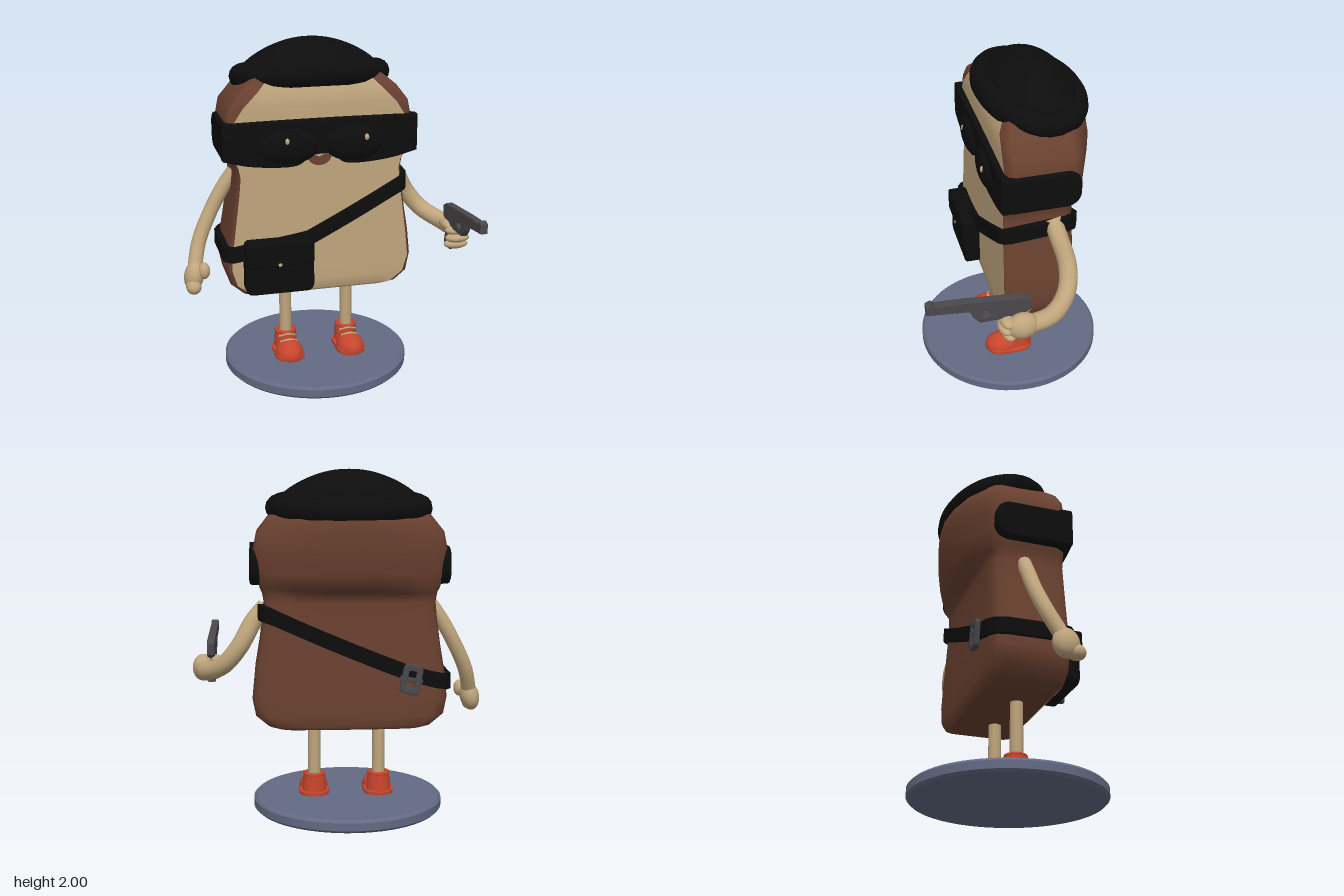
import * as THREE from 'three';

const mat = (name, color, side = THREE.FrontSide) => {
  const m = new THREE.MeshStandardMaterial({ color, side });
  m.name = name;
  return m;
};
const CX = -0.06; // centre line of the figure
const V = (x, y, z) => new THREE.Vector3(x, y, z);
const lerp = THREE.MathUtils.lerp;

// Body sections: height, half width, half width of bread face, front z, back z at centre, back z at corner
const ROWS = [
  [0.52, 0.01, 0.005, -0.1, -0.1, -0.1], [0.52, 0.41, 0.37, 0.09, -0.3, -0.29],
  [0.54, 0.47, 0.43, 0.113, -0.315, -0.31], [0.6, 0.54, 0.505, 0.117, -0.32, -0.315],
  [0.7, 0.56, 0.535, 0.117, -0.32, -0.315], [0.85, 0.545, 0.52, 0.115, -0.315, -0.31],
  [1.0, 0.52, 0.5, 0.113, -0.31, -0.305], [1.15, 0.5, 0.48, 0.112, -0.305, -0.3],
  [1.25, 0.49, 0.47, 0.11, -0.305, -0.3], [1.305, 0.5, 0.48, 0.11, -0.315, -0.3],
  [1.33, 0.51, 0.49, 0.11, -0.4, -0.315], [1.42, 0.54, 0.51, 0.11, -0.435, -0.325],
  [1.55, 0.55, 0.515, 0.11, -0.455, -0.33], [1.65, 0.53, 0.45, 0.108, -0.465, -0.33],
  [1.74, 0.46, 0.36, 0.1, -0.46, -0.31], [1.84, 0.34, 0.26, 0.04, -0.4, -0.25],
];
const rowAt = (y) => {
  let i = 1;
  while (i < ROWS.length - 2 && ROWS[i + 1][0] < y) i++;
  const a = ROWS[i], b = ROWS[i + 1], t = (y - a[0]) / (b[0] - a[0]);
  return a.map((v, k) => lerp(v, b[k], t));
};
// Crust outline, from the front right edge around the back to the front left edge
function crustRing([y, w, fw, zf, zb, zs]) {
  const c = Math.min(1, w / 0.4);
  const half = [
    [fw, zf], [w - 0.012 * c, zf - 0.012 * c], [w, zf - 0.04 * c], [w, lerp(zf, zs, 0.35)],
    [w, lerp(zf, zs, 0.65)], [w, zs + 0.06 * c], [w - 0.02 * c, zs + 0.02 * c], [w - 0.07 * c, lerp(zs, zb, 0.1)],
    [w * 0.6, lerp(zs, zb, 0.6)], [w * 0.3, lerp(zs, zb, 0.9)],
  ];
  const all = [...half, [0, zb], ...half.map(([x, z]) => [-x, z]).reverse()];
  return all.map(([x, z]) => V(CX + x, y, z));
}
const faceRing = ([y, , fw, zf]) => Array.from({ length: 13 }, (_, i) => V(CX + fw * (i / 6 - 1), y, zf));
const fullRing = (r) => [...crustRing(r), ...faceRing(r).slice(1)];

// Surface through a grid of points
function loft(grid) {
  const n = grid[0].length, idx = [];
  for (let i = 0; i < grid.length - 1; i++) {
    for (let j = 0; j < n - 1; j++) {
      const p = i * n + j;
      idx.push(p, p + 1, p + n, p + 1, p + n + 1, p + n);
    }
  }
  const g = new THREE.BufferGeometry().setFromPoints(grid.flat());
  g.setIndex(idx);
  g.computeVertexNormals();
  return g;
}
const shapeOf = (pts) => new THREE.Shape(pts.map(([x, y]) => new THREE.Vector2(x, y)));
const extrude = (shape, depth, bevel = 0.008) => new THREE.ExtrudeGeometry(shape, {
  depth: depth - 2 * bevel, bevelEnabled: bevel > 0, bevelSize: bevel, bevelThickness: bevel, bevelSegments: 2, curveSegments: 10,
}).translate(0, 0, bevel - depth / 2);
function roundRect(x0, y0, x1, y1, r) {
  const s = new THREE.Shape();
  s.absarc(x1 - r, y1 - r, r, 0, Math.PI / 2);
  s.absarc(x0 + r, y1 - r, r, Math.PI / 2, Math.PI);
  s.absarc(x0 + r, y0 + r, r, Math.PI, 1.5 * Math.PI);
  s.absarc(x1 - r, y0 + r, r, 1.5 * Math.PI, 2 * Math.PI);
  return s;
}

export function createModel() {
  const model = new THREE.Group();
  const bread = mat('bread tan', 0xbfa57c), crust = mat('crust brown', 0x6a4130);
  const black = mat('cloth black', 0x0d0d0d), red = mat('shoe red', 0xc8452d);
  const slate = mat('base slate', 0x636a83), metal = mat('dark metal', 0x4a484b);
  const add = (name, geo, m, x = 0, y = 0, z = 0) => {
    const mesh = new THREE.Mesh(geo, m);
    mesh.name = name;
    mesh.position.set(x, y, z);
    model.add(mesh);
    return mesh;
  };
  const ball = (name, m, p, s) => {
    const b = add(name, new THREE.SphereGeometry(1, 24, 16), m, ...p);
    b.scale.set(...s);
    return b;
  };
  const tube = (name, pts, r, m, closed = false) =>
    add(name, new THREE.TubeGeometry(new THREE.CatmullRomCurve3(pts.map((p) => V(...p)), closed), 48, r, 14, closed), m);

  // Display base
  add('base', new THREE.CylinderGeometry(0.56, 0.56, 0.045, 64), slate, CX, 0.0425, -0.05);
  for (const [y, top, bottom] of [[0.0725, 0.545, 0.56], [0.0125, 0.56, 0.545]]) {
    add('baseRim', new THREE.CylinderGeometry(top, bottom, 0.015, 64), slate, CX, y, -0.05);
  }

  // Slice body
  add('crust', loft(ROWS.slice(1).map(crustRing)), crust);
  add('crustBottom', loft(ROWS.slice(0, 2).map(fullRing)), crust);
  add('breadFace', loft(ROWS.slice(1).map(faceRing)), bread);

  // Legs and shoes
  for (const x of [-0.245, 0.14]) {
    add('leg', new THREE.CylinderGeometry(0.037, 0.037, 0.36, 20), bread, x, 0.36, -0.065);
    add('shoeAnkle', new THREE.CylinderGeometry(0.064, 0.074, 0.13, 24), red, x, 0.145, -0.07);
    ball('shoeToe', red, [x, 0.1, 0.04], [0.085, 0.08, 0.11]);
    add('shoeSole', extrude(roundRect(-0.08, -0.14, 0.08, 0.13, 0.075), 0.03).rotateX(Math.PI / 2), red, x, 0.09, 0.005);
    const collar = add('shoeCollar', new THREE.TorusGeometry(0.055, 0.012, 8, 24), red, x, 0.205, -0.07);
    collar.rotation.x = Math.PI / 2;
    for (const [y, z] of [[0.195, -0.01], [0.178, 0.035]]) {
      tube('lace', [[x - 0.05, y - 0.015, z - 0.015], [x, y + 0.004, z + 0.005], [x + 0.05, y - 0.015, z - 0.015]], 0.007, bread);
    }
  }

  // Knitted cap with rolled cuff
  const dome = [[0.43, 1.76], [0.42, 1.82], [0.36, 1.88], [0.27, 1.935], [0.17, 1.975], [0.08, 1.995], [0, 2]];
  const cap = add('cap', new THREE.LatheGeometry(
    new THREE.SplineCurve(dome.map((p) => new THREE.Vector2(...p))).getPoints(24), 48), black, CX, 0, -0.155);
  cap.scale.z = 0.62;
  const cuff = Array.from({ length: 24 }, (_, i) => {
    const a = (i / 24) * Math.PI * 2, c = Math.cos(a), s = Math.sin(a);
    return [CX + 0.405 * c, 1.795 + 0.032 * s - 0.012 * c * c, -0.16 + 0.245 * s];
  });
  tube('capCuff', cuff, 0.073, black, true);

  // Eye mask
  const front = new THREE.Shape();
  front.moveTo(-0.56, 1.37);
  front.splineThru([[-0.42, 1.335], [-0.25, 1.318], [-0.14, 1.325], [-0.08, 1.37], [0, 1.385], [0.08, 1.37],
    [0.14, 1.325], [0.25, 1.318], [0.42, 1.335], [0.56, 1.37]].map((p) => new THREE.Vector2(...p)));
  front.lineTo(0.56, 1.562);
  front.quadraticCurveTo(0, 1.572, -0.56, 1.562);
  add('maskFront', extrude(front, 0.085, 0.012), black, CX, 0, 0.1);
  for (const s of [-1, 1]) {
    add('maskSide', extrude(roundRect(-0.295, 1.365, 0.13, 1.555, 0.07), 0.08, 0.015).rotateY(-Math.PI / 2), black, CX + s * 0.53, 0, 0);
    ball('maskBulge', black, [CX + s * 0.19, 1.43, 0.125], [0.18, 0.11, 0.057]);
    ball('eye', bread, [CX + s * 0.21 + 0.045 * (s > 0), 1.465, 0.172], [0.014, 0.02, 0.012]);
  }

  // Mouth
  const mouth = new THREE.Shape();
  mouth.moveTo(-0.07, 0.025);
  mouth.quadraticCurveTo(-0.035, 0.045, 0, 0.02);
  mouth.quadraticCurveTo(0.035, 0.045, 0.07, 0.025);
  mouth.bezierCurveTo(0.06, -0.045, -0.06, -0.045, -0.07, 0.025);
  add('mouth', extrude(mouth, 0.009, 0), crust, -0.07, 1.33, 0.116);

  // Shoulder strap wrapped around the body
  const bent = (x, mid, lo, mY, hi) => (x < mid ? lerp(lo, mY, (x + 0.62) / (mid + 0.62)) : lerp(mY, hi, (x - mid) / (0.46 - mid)));
  const path = fullRing(rowAt(1)).map((p, j) => {
    const t = THREE.MathUtils.clamp((0.11 - p.z) / 0.42, 0, 1);
    const y = lerp(bent(p.x, -0.15, 0.79, 0.86, 1.17), bent(p.x, -0.4, 0.78, 0.84, 1.2), t);
    return fullRing(rowAt(y))[j];
  });
  const last = path.length - 1;
  const strapRow = ([out, up]) => path.map((p, j) => {
    const d = path[j === last ? 1 : j + 1].clone().sub(path[j === 0 ? last - 1 : j - 1]);
    const n = V(-d.z, 0, d.x).normalize();
    return p.clone().addScaledVector(n, out).add(V(0, up, 0));
  });
  const strap = loft([[0.03, -0.045], [0.03, 0.045], [-0.02, 0.045], [-0.02, -0.045], [0.03, -0.045]].map(strapRow)).toNonIndexed();
  strap.computeVertexNormals();
  add('strap', strap, black);

  // Buckle on the back
  const frame = roundRect(-0.05, -0.08, 0.05, 0.08, 0.025);
  frame.holes.push(roundRect(-0.028, -0.055, 0.028, 0.055, 0.015));
  const buckle = new THREE.Group();
  buckle.name = 'buckle';
  buckle.add(new THREE.Mesh(extrude(frame, 0.03, 0.006), metal),
    new THREE.Mesh(new THREE.BoxGeometry(0.13, 0.022, 0.02), metal));
  buckle.position.set(-0.4, 0.82, -0.36);
  buckle.rotation.z = 0.2;
  model.add(buckle);

  // Pouch
  add('pouch', extrude(roundRect(-0.515, 0.575, -0.135, 0.87, 0.03), 0.1, 0.012), black, 0, 0, 0.155);
  add('pouchFlap', extrude(roundRect(-0.515, 0.745, -0.135, 0.875, 0.02), 0.11, 0.01), black, 0, 0, 0.17);
  ball('pouchButton', bread, [-0.33, 0.75, 0.224], [0.012, 0.012, 0.007]);

  // Right arm, hanging
  tube('rightArm', [[-0.53, 1.24, -0.12], [-0.6, 1.14, -0.12], [-0.68, 1.0, -0.11], [-0.76, 0.83, -0.07], [-0.8, 0.68, 0]], 0.043, bread);
  ball('rightHand', bread, [-0.805, 0.65, 0.01], [0.058, 0.09, 0.075]).rotation.z = -0.2;
  ball('rightThumb', bread, [-0.75, 0.69, 0.05], [0.035, 0.05, 0.04]);
  ball('rightFingers', bread, [-0.815, 0.6, 0.06], [0.045, 0.045, 0.055]);

  // Left arm, bent forward
  tube('leftArm', [[0.42, 1.22, -0.17], [0.49, 1.14, -0.19], [0.57, 1.0, -0.22], [0.66, 0.89, -0.19], [0.76, 0.83, -0.08], [0.8, 0.82, 0.08]], 0.053, bread);
  ball('leftHand', bread, [0.8, 0.825, 0.1], [0.062, 0.08, 0.09]);
  for (const [y, z] of [[0.765, 0.17], [0.81, 0.19], [0.855, 0.18]]) {
    ball('leftFinger', bread, [0.765, y, z], [0.075, 0.03, 0.042]);
  }
  ball('leftThumb', bread, [0.72, 0.87, 0.1], [0.03, 0.03, 0.07]);

  // Sidearm, drawn in the z-y plane
  const gun = shapeOf([[0.615, 0.985], [0.615, 1.035], [0.59, 1.045], [0.575, 1.03], [0.4, 1.02], [0.08, 0.99], [0.045, 0.97],
    [0.05, 0.91], [0.1, 0.88], [0.07, 0.745], [0.15, 0.73], [0.2, 0.875], [0.33, 0.875], [0.365, 0.92], [0.38, 0.96]]);
  gun.holes.push(new THREE.Path().absellipse(0.295, 0.925, 0.035, 0.025, 0, Math.PI * 2));
  add('sidearm', extrude(gun, 0.045, 0.005).rotateY(-Math.PI / 2), metal, 0.75, 0, 0);

  return model;
}
